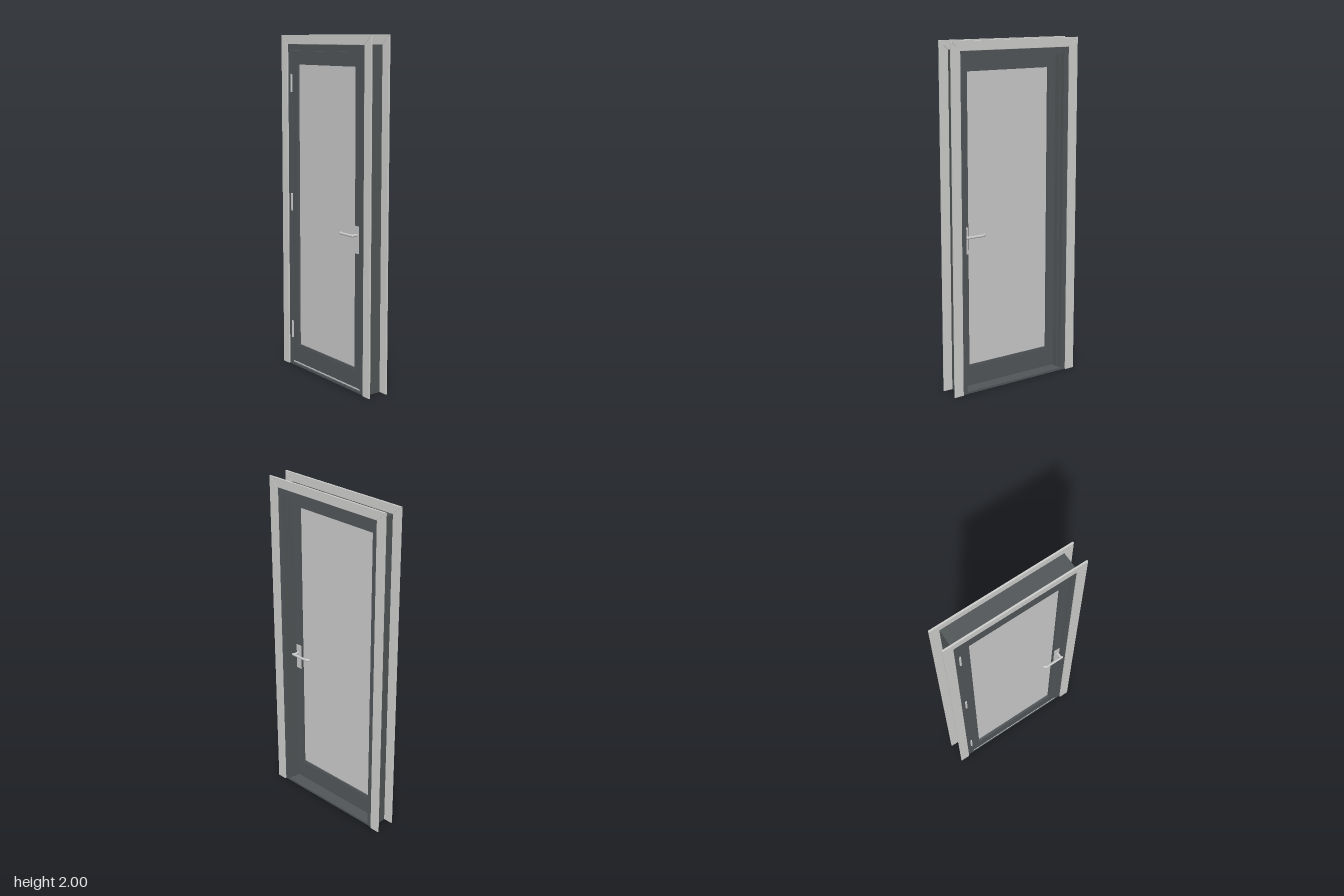
import * as THREE from 'three';

const mat = (name, color) => {
  const m = new THREE.MeshStandardMaterial({ color });
  m.name = name;
  return m;
};

export function createModel() {
  const door = new THREE.Group();
  door.name = 'glazedDoor';
  const dark = mat('darkGreyPaint', 0x505557);
  const light = mat('lightGreyTrim', 0xcbcbc9);
  const pane = mat('frostedGlass', 0xc8c8c8);
  const metal = mat('brushedMetal', 0xc6c6c6);

  const add = (name, geometry, material, parent = door) => {
    const mesh = new THREE.Mesh(geometry, material);
    mesh.name = name;
    parent.add(mesh);
    return mesh;
  };
  // Box given by its limits on each axis
  const box = (name, m, x0, x1, y0, y1, z0, z1, parent) => {
    const b = add(name, new THREE.BoxGeometry(x1 - x0, y1 - y0, z1 - z0), m, parent);
    b.position.set((x0 + x1) / 2, (y0 + y1) / 2, (z0 + z1) / 2);
    return b;
  };
  // Flat polygon with slightly eased edges, from z0 to z1
  const board = (name, points, z0, z1) => {
    const e = 0.0015;
    const shape = new THREE.Shape(points.map(([x, y]) => new THREE.Vector2(x, y)));
    const g = new THREE.ExtrudeGeometry(shape, {
      depth: z1 - z0 - 2 * e, bevelEnabled: true, bevelSize: e,
      bevelThickness: e, bevelOffset: -e, bevelSegments: 2,
    });
    add(name, g.translate(0, 0, z0 + e), light);
  };

  // Mitred trim on both faces of the wall
  const W = 0.424, w = 0.366, H = 2, h = 1.946;
  for (const [side, z0, z1] of [['front', 0.035, 0.045], ['back', -0.086, -0.076]]) {
    board(side + 'TrimRight', [[-W, 0], [-w, 0], [-w, h], [-W, H]], z0, z1);
    board(side + 'TrimLeft', [[w, 0], [W, 0], [W, H], [w, h]], z0, z1);
    board(side + 'TrimHead', [[-w, h], [w, h], [W, H], [-W, H]], z0, z1);
  }

  // Frame: jambs, head, sill, and the stop behind the leaf
  const zb = -0.077, zf = 0.036;
  for (const s of [-1, 1]) {
    const span = (a, b) => (s > 0 ? [a, b] : [-b, -a]);
    box('jamb', dark, ...span(0.334, 0.369), 0, 1.949, zb, zf);
    box('jambStop', dark, ...span(0.325, 0.334), 0.012, 1.91, -0.045, -0.007);
  }
  box('frameHead', dark, -0.334, 0.334, 1.912, 1.949, zb, zf);
  box('headStop', dark, -0.325, 0.325, 1.902, 1.912, -0.045, -0.007);
  box('sill', dark, -0.334, 0.334, 0, 0.013, zb, zf);

  // Door leaf with the glazing opening
  const rect = (C, x, y0, y1) => {
    const s = new C();
    s.moveTo(-x, y0);
    s.lineTo(x, y0);
    s.lineTo(x, y1);
    s.lineTo(-x, y1);
    s.closePath();
    return s;
  };
  const ring = (name, x, y0, y1, hx, hy0, hy1, z0, z1) => {
    const shape = rect(THREE.Shape, x, y0, y1);
    shape.holes.push(rect(THREE.Path, hx, hy0, hy1));
    const g = new THREE.ExtrudeGeometry(shape, { depth: z1 - z0, bevelEnabled: false });
    add(name, g.translate(0, 0, z0), dark);
  };
  ring('doorLeaf', 0.331, 0.016, 1.908, 0.281, 0.132, 1.838, -0.006, 0.034);
  ring('glazingBead', 0.281, 0.132, 1.838, 0.274, 0.14, 1.83, -0.003, 0.031);
  box('glass', pane, -0.276, 0.276, 0.138, 1.832, 0.006, 0.021);
  box('bottomSeal', metal, -0.325, 0.325, 0.019, 0.027, 0.033, 0.036);

  // Hinges
  for (const y of [0.225, 1.013, 1.722]) {
    const hinge = add('hinge', new THREE.CylinderGeometry(0.006, 0.006, 0.105, 16), metal);
    hinge.position.set(-0.334, y, 0.037);
  }

  // Lever handles, one on each face of the leaf
  const lever = (name, face, dir) => {
    const handle = new THREE.Group();
    handle.name = name;
    box('handlePlate', metal, 0.28, 0.315, 0.806, 0.961, -0.001, 0.004, handle);
    const stem = add('handleStem', new THREE.CylinderGeometry(0.0075, 0.0075, 0.043, 20), metal, handle);
    stem.rotation.x = Math.PI / 2;
    stem.position.set(0.301, 0.911, 0.0215);
    const path = new THREE.CurvePath();
    const pts = [[0.308, 0.041], [0.2, 0.041], [0.187, 0.03]]
      .map(([x, z]) => new THREE.Vector3(x, 0.911, z));
    path.add(new THREE.LineCurve3(pts[0], pts[1]));
    path.add(new THREE.LineCurve3(pts[1], pts[2]));
    add('handleLever', new THREE.TubeGeometry(path, 24, 0.0075, 16), metal, handle);
    // Rounded ends close the lever
    for (const p of [pts[0], pts[2]]) {
      const cap = add('leverEnd', new THREE.SphereGeometry(0.0075, 16, 10), metal, handle);
      cap.position.copy(p);
    }
    handle.position.z = face;
    // Half turn about a vertical axis through the plate for the rear handle, lever kept inward
    if (dir < 0) {
      handle.rotation.x = Math.PI;
      handle.position.y = 2 * 0.911;
      handle.children[0].position.y = 2 * 0.911 - handle.children[0].position.y;
    }
    door.add(handle);
  };
  lever('frontHandle', 0.034, 1);
  lever('backHandle', -0.006, -1);

  return door;
}
